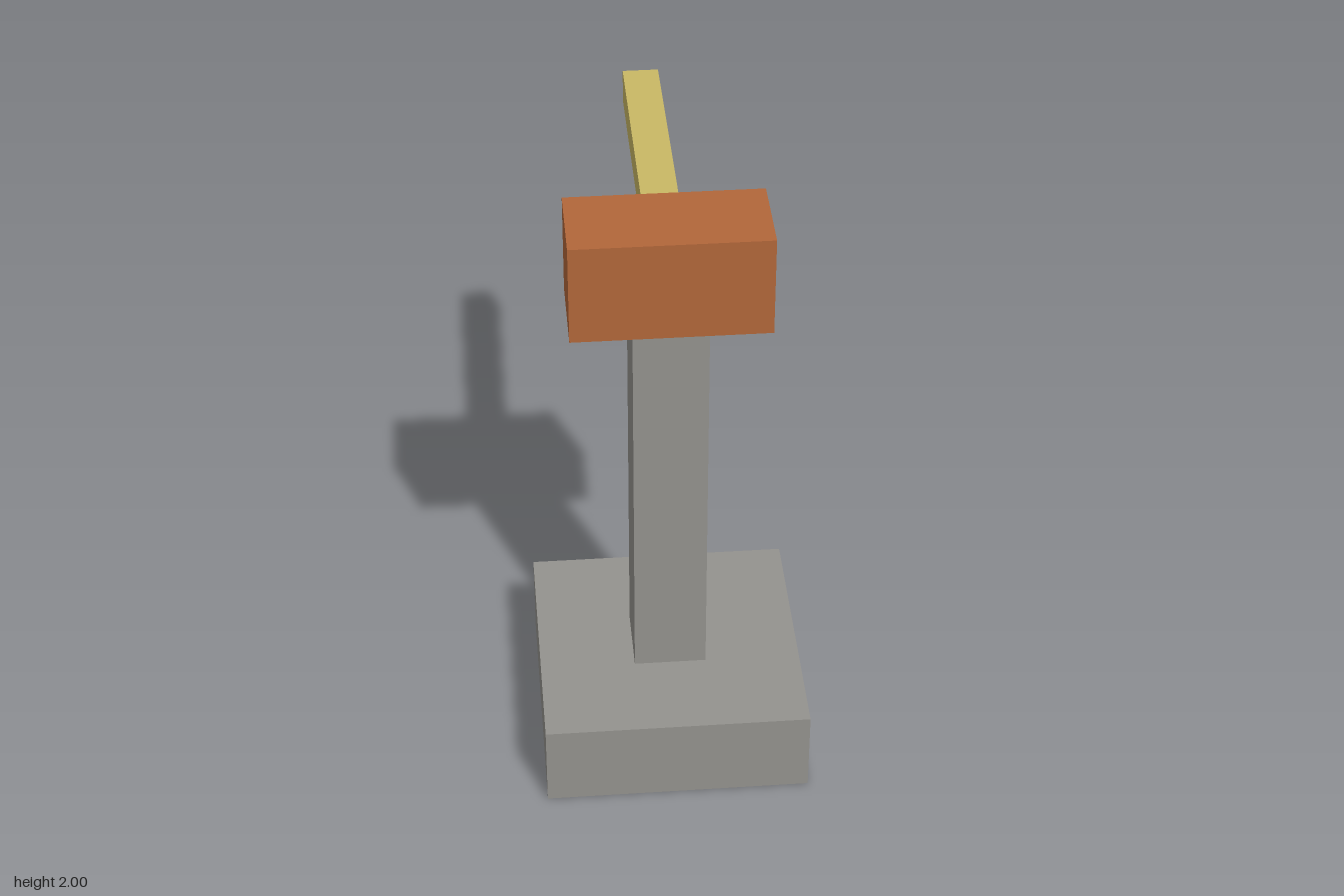
import * as THREE from 'three';

const material = (name, color) => {
  const m = new THREE.MeshStandardMaterial({ color });
  m.name = name;
  return m;
};

// Box given by its minimum and maximum corners
function box(name, mat, [x0, y0, z0], [x1, y1, z1]) {
  const mesh = new THREE.Mesh(new THREE.BoxGeometry(x1 - x0, y1 - y0, z1 - z0), mat);
  mesh.position.set((x0 + x1) / 2, (y0 + y1) / 2, (z0 + z1) / 2);
  mesh.name = name;
  return mesh;
}

export function createModel() {
  const stone = material('stone grey', 0x94938e);
  const rust = material('rust orange', 0xb2673a);
  const straw = material('straw yellow', 0xc9b865);

  const model = new THREE.Group();
  model.name = 'postWithArm';
  model.add(
    // Square plinth and upright post
    box('base', stone, [-0.438, 0, -0.11], [0.438, 0.295, 0.768]),
    box('post', stone, [-0.12, 0.295, 0.21], [0.12, 1.66, 0.45]),
    // Block on top of the post, with the arm reaching backwards
    box('head', rust, [-0.316, 1.66, 0.182], [0.316, 2, 0.475]),
    box('arm', straw, [-0.06, 1.773, -0.768], [0.06, 1.89, 0.182]),
  );
  return model;
}
